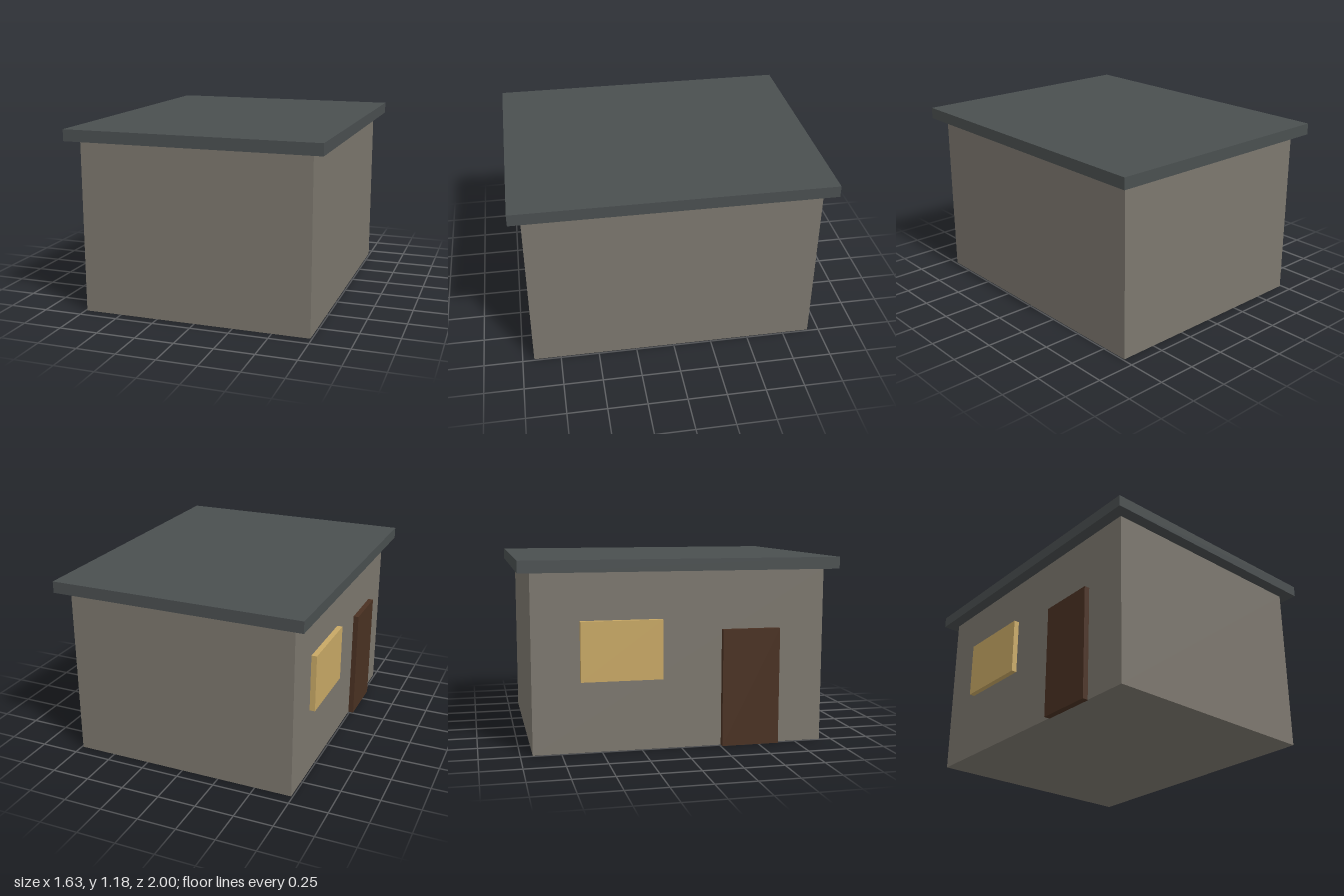
import * as THREE from 'three';

const material = (name, color) => {
  const m = new THREE.MeshStandardMaterial({ color });
  m.name = name;
  return m;
};

// Axis-aligned box given by its lower and upper corners
function block(name, mat, [x0, y0, z0], [x1, y1, z1]) {
  const geometry = new THREE.BoxGeometry(x1 - x0, y1 - y0, z1 - z0);
  const mesh = new THREE.Mesh(geometry, mat);
  mesh.position.set((x0 + x1) / 2, (y0 + y1) / 2, (z0 + z1) / 2);
  mesh.name = name;
  return mesh;
}

export function createModel() {
  const stone = material('stone grey', 0x7c776e);
  const slate = material('slate', 0x4a4f50);
  const wood = material('dark wood', 0x4a3122);
  const glow = material('warm window', 0xc8a865);

  const house = new THREE.Group();
  house.name = 'house';
  house.add(
    block('walls', stone, [-0.74, 0, -0.925], [0.74, 1.111, 0.925]),
    // Flat slab roof with an even overhang
    block('roof', slate, [-0.815, 1.111, -1], [0.815, 1.185, 1]),
    // Door and window stand proud of the -x wall
    block('door', wood, [-0.775, 0, 0.26], [-0.735, 0.741, 0.63]),
    block('window', glow, [-0.775, 0.445, -0.63], [-0.735, 0.815, -0.12]),
  );
  return house;
}
